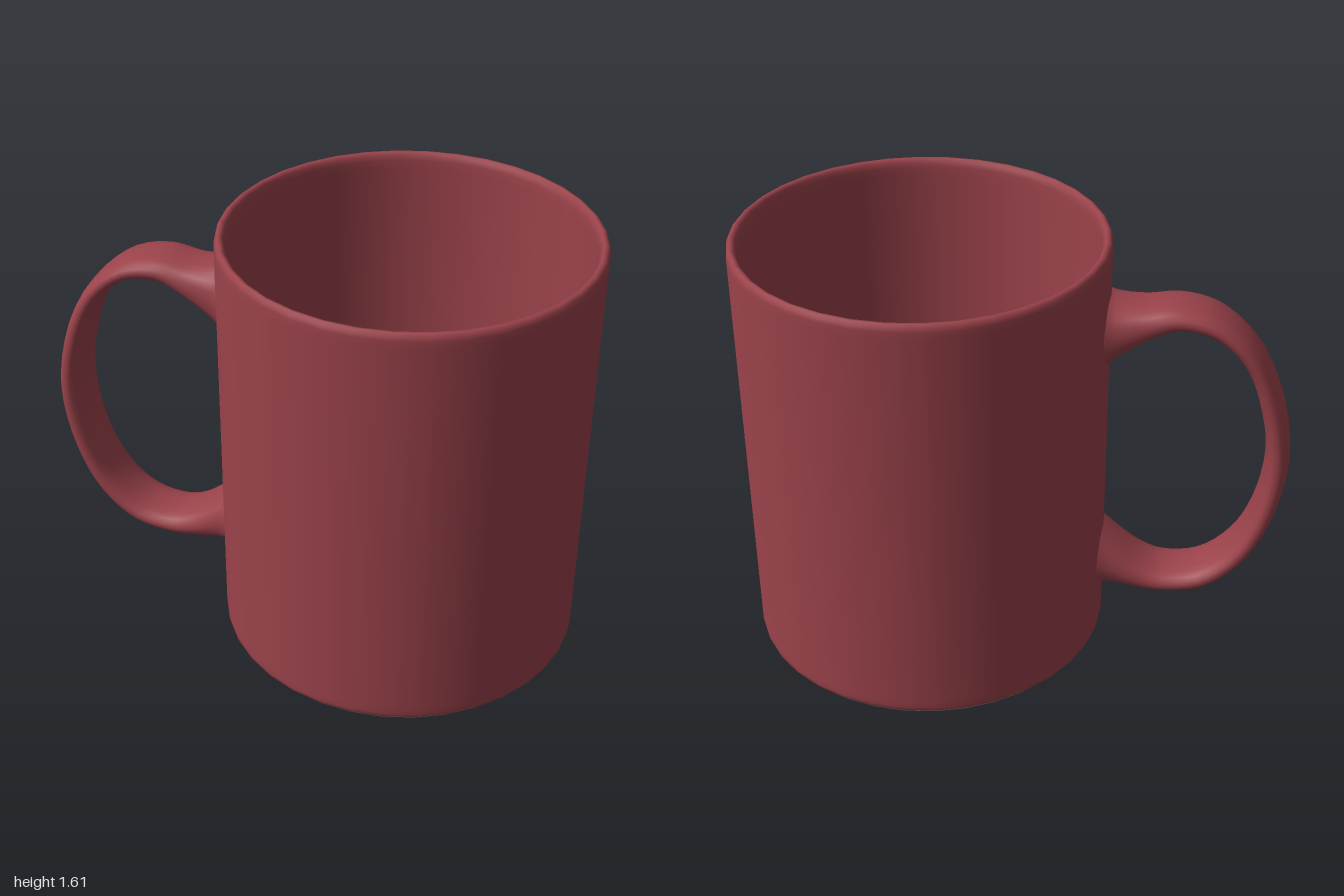
import * as THREE from 'three';

const glaze = new THREE.MeshStandardMaterial({ color: 0x9a424a });
glaze.name = 'red glaze';
const clay = new THREE.MeshStandardMaterial({ color: 0xa8a296 });
clay.name = 'bare grey clay';

const CENTER_X = 0.332;

function turned(name, profile, material) {
  const points = profile.map(([r, y]) => new THREE.Vector2(r, y));
  const mesh = new THREE.Mesh(new THREE.LatheGeometry(points, 36), material);
  mesh.name = name;
  mesh.position.x = CENTER_X;
  return mesh;
}

// Sweeps a rounded oval between an outer and an inner outline in the xy plane
function handleGeometry(sections, steps, sides) {
  const curve = (k) => new THREE.CatmullRomCurve3(
    sections.map((s) => new THREE.Vector3(s[k], s[k + 1], s[4])), false, 'centripetal');
  const outer = curve(0), inner = curve(2);
  const positions = [], index = [];
  const soften = (v) => Math.sign(v) * Math.abs(v) ** 0.85;
  for (let i = 0; i <= steps; i++) {
    const o = outer.getPoint(i / steps), n = inner.getPoint(i / steps);
    const halfWidth = (o.z + n.z) / 2;
    for (let j = 0; j < sides; j++) {
      const a = (j / sides) * Math.PI * 2;
      const t = 0.5 + 0.5 * soften(Math.cos(a));
      positions.push(n.x + (o.x - n.x) * t, n.y + (o.y - n.y) * t,
        0.01 + halfWidth * soften(Math.sin(a)));
      if (i === steps) continue;
      const p = i * sides + j, q = i * sides + (j + 1) % sides;
      index.push(p, p + sides, q + sides, p, q + sides, q);
    }
  }
  const geometry = new THREE.BufferGeometry();
  geometry.setAttribute('position', new THREE.Float32BufferAttribute(positions, 3));
  geometry.setIndex(index);
  geometry.computeVertexNormals();
  return geometry;
}

export function createModel() {
  const mug = new THREE.Group();
  mug.name = 'mug';

  // Outer wall, rounded rim, inner wall and floor in one profile
  mug.add(turned('cup', [
    [0.655, 0.012], [0.663, 0.02], [0.666, 0.035], [0.666, 0.06],
    [0.666, 1.56], [0.666, 1.585], [0.663, 1.6], [0.654, 1.609], [0.644, 1.609],
    [0.635, 1.6], [0.631, 1.58], [0.631, 1.55],
    [0.631, 0.2], [0.625, 0.14], [0.6, 0.095], [0.55, 0.07], [0.48, 0.06], [0, 0.06],
  ], glaze));

  // Unglazed foot ring and the recessed underside within it
  mug.add(turned('footRing', [[0.605, 0.006], [0.612, 0], [0.645, 0], [0.655, 0.012]], clay));
  mug.add(turned('underside', [[0, 0.03], [0.57, 0.03], [0.595, 0.024], [0.605, 0.006]], glaze));

  // Handle sections: outer x, y, inner x, y, half width
  const handle = new THREE.Mesh(handleGeometry([
    [-0.315, 1.42, -0.315, 1.14, 0.14],
    [-0.35, 1.405, -0.36, 1.18, 0.128],
    [-0.45, 1.395, -0.47, 1.26, 0.116],
    [-0.57, 1.405, -0.57, 1.312, 0.113],
    [-0.71, 1.37, -0.69, 1.295, 0.113],
    [-0.85, 1.25, -0.8, 1.2, 0.113],
    [-0.95, 1.06, -0.87, 1.04, 0.113],
    [-1, 0.8, -0.912, 0.8, 0.113],
    [-0.955, 0.53, -0.875, 0.55, 0.113],
    [-0.86, 0.34, -0.8, 0.395, 0.113],
    [-0.72, 0.22, -0.69, 0.3, 0.113],
    [-0.55, 0.188, -0.56, 0.282, 0.113],
    [-0.45, 0.195, -0.47, 0.32, 0.116],
    [-0.36, 0.203, -0.36, 0.41, 0.128],
    [-0.315, 0.195, -0.315, 0.45, 0.14],
  ], 56, 20), glaze);
  handle.name = 'handle';
  mug.add(handle);

  return mug;
}
